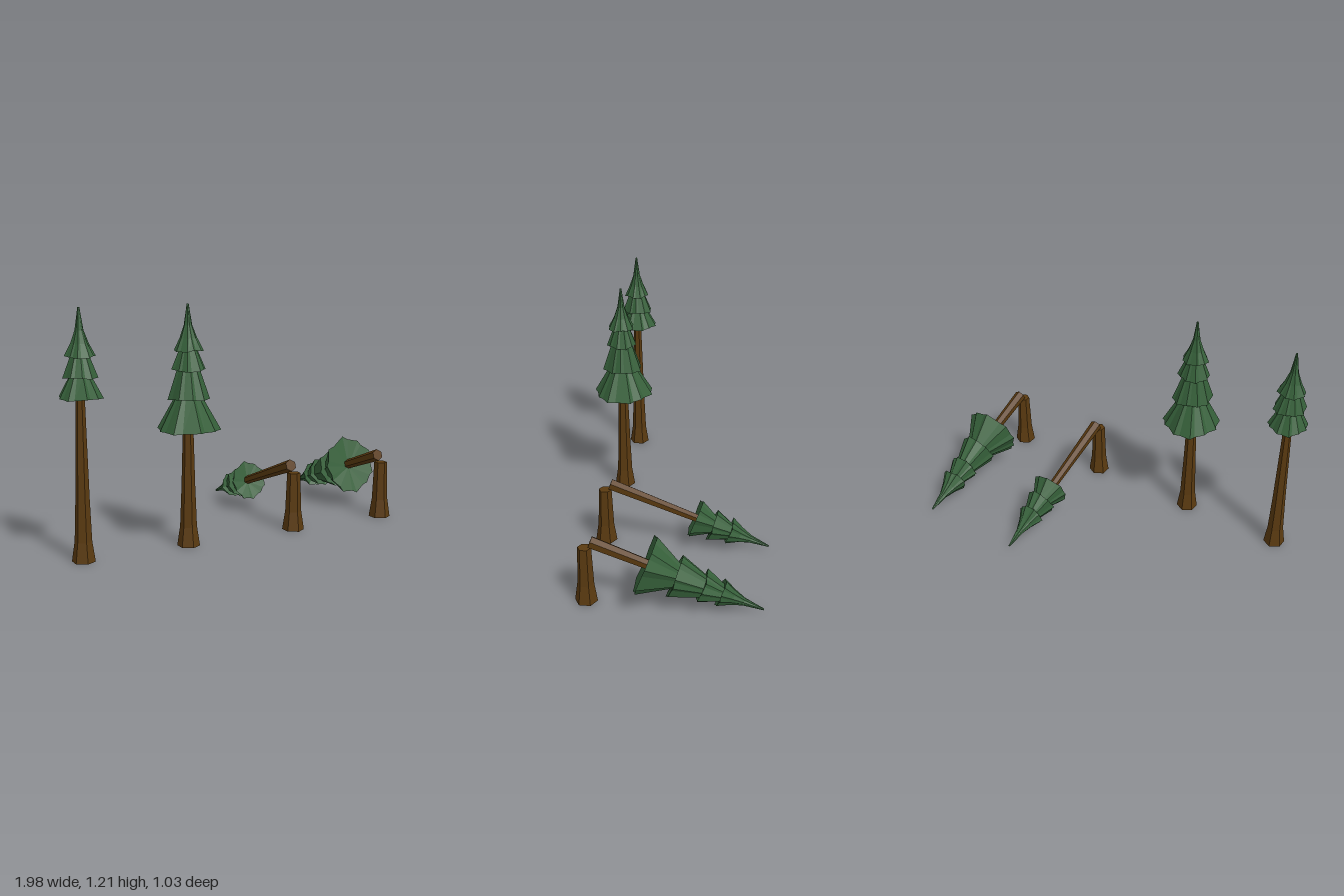
import * as THREE from 'three';

const bark = new THREE.MeshStandardMaterial({ color: 0x5a3a10 });
bark.name = 'brown bark';
const needles = new THREE.MeshStandardMaterial({ color: 0x355f39 });
needles.name = 'dark green needles';

// Uneven outline of a branch tier: [angle in degrees, relative radius]
const OUTLINE = [
  [23, 1.0], [55, 0.93], [93, 0.98], [143, 0.94], [180, 0.93],
  [214, 0.94], [243, 1.06], [275, 1.04], [310, 0.96], [336, 0.98],
];

// Skin stacked rings of points (bottom to top) with flat facets and end caps
function loft(rings, bottomLift = 0) {
  const pos = [];
  const n = rings[0].length;
  const tri = (...pts) => pts.forEach((p) => pos.push(p.x, p.y, p.z));
  const middle = (ring) => ring.reduce((s, p) => s.add(p), new THREE.Vector3()).divideScalar(n);
  const low = middle(rings[0]);
  low.y += bottomLift;
  const last = rings[rings.length - 1];
  const high = middle(last);
  for (let i = 0; i < n; i++) {
    const j = (i + 1) % n;
    tri(low, rings[0][i], rings[0][j]);
    tri(high, last[j], last[i]);
    for (let k = 0; k + 1 < rings.length; k++) {
      const a = rings[k], b = rings[k + 1];
      tri(a[i], b[i], a[j]);
      tri(a[j], b[i], b[j]);
    }
  }
  const geo = new THREE.BufferGeometry();
  geo.setAttribute('position', new THREE.Float32BufferAttribute(pos, 3));
  geo.computeVertexNormals();
  return geo;
}

function addMesh(parent, name, geo, material) {
  const mesh = new THREE.Mesh(geo, material);
  mesh.name = name;
  parent.add(mesh);
}

// Six-sided trunk piece from [height, radius] pairs
function trunk(profile) {
  return loft(profile.map(([y, r]) => Array.from({ length: 6 }, (_, i) => {
    const a = (i + 0.5) * Math.PI / 3;
    return new THREE.Vector3(Math.cos(a) * r, y, Math.sin(a) * r);
  })));
}

// Pleated ring: each uneven corner is followed by a shallow groove
function pleatedRing(y, r, turn, droop) {
  const corners = OUTLINE.map(([deg, m], i) => {
    const a = THREE.MathUtils.degToRad(deg + turn);
    const lift = droop * (i % 3 - 1);
    return new THREE.Vector3(Math.cos(a) * r * m, y + lift, Math.sin(a) * r * m);
  });
  return corners.flatMap((p, i) => {
    const groove = p.clone().lerp(corners[(i + 1) % corners.length], 0.68);
    groove.x *= 0.95;
    groove.z *= 0.95;
    return [p, groove];
  });
}

// Tiers as [height, radius] pairs; the upper ones are shared by all trees
const topTiers = [
  [[0.885, 0.087], [0.985, 0.045]],
  [[0.98, 0.074], [1.04, 0.043], [1.1, 0.021], [1.17, 0.01], [1.205, 0.005]],
];
const KINDS = {
  tall: { base: 0.59, tiers: [[[0.59, 0.163], [0.75, 0.07]], [[0.745, 0.11], [0.89, 0.058]], ...topTiers] },
  short: { base: 0.79, tiers: [[[0.787, 0.109], [0.89, 0.052]], ...topTiers] },
};

function addCrown(parent, kind) {
  const crown = new THREE.Group();
  crown.name = 'crown';
  kind.tiers.forEach((tier, t) => {
    const rings = tier.map(([y, r], k) => pleatedRing(y, r, t * 47, k === 0 ? 0.004 : 0));
    addMesh(crown, 'branchTier' + (t + 1), loft(rings, 0.015), needles);
  });
  parent.add(crown);
}

const BREAK = 0.305;
const rootProfile = [[0, 0.057], [0.1, 0.042], [BREAK, 0.034]];

function standingTree(kind) {
  const tree = new THREE.Group();
  addMesh(tree, 'trunk', trunk([...rootProfile, [0.6, 0.026], [kind.base + 0.04, kind.base > 0.7 ? 0.02 : 0.026]]), bark);
  addCrown(tree, kind);
  return tree;
}

function brokenTree(kind) {
  const tree = new THREE.Group();
  addMesh(tree, 'stump', trunk(rootProfile), bark);

  // Upper part snapped off and tipped backwards to the ground
  const pivot = new THREE.Group();
  pivot.name = 'fallenTop';
  const piece = new THREE.Group();
  piece.name = 'fallenPiece';
  piece.position.y = -BREAK;
  addMesh(piece, 'fallenTrunk', trunk([[BREAK, 0.032], [0.6, 0.026], [kind.base + 0.04, 0.022]]), bark);
  addCrown(piece, kind);
  pivot.add(piece);
  pivot.position.set(0, 0.338, -0.028);
  pivot.rotation.x = -THREE.MathUtils.degToRad(110.9);
  tree.add(pivot);
  return tree;
}

export function createModel() {
  const model = new THREE.Group();
  model.name = 'pineTrees';
  const place = (tree, name, x) => {
    tree.name = name;
    tree.position.set(x, 0, 0.355);
    model.add(tree);
  };
  place(standingTree(KINDS.short), 'shortCrownTree', -0.888);
  place(standingTree(KINDS.tall), 'tallCrownTree', -0.333);
  place(brokenTree(KINDS.short), 'brokenShortCrownTree', 0.28);
  place(brokenTree(KINDS.tall), 'brokenTallCrownTree', 0.838);
  return model;
}
